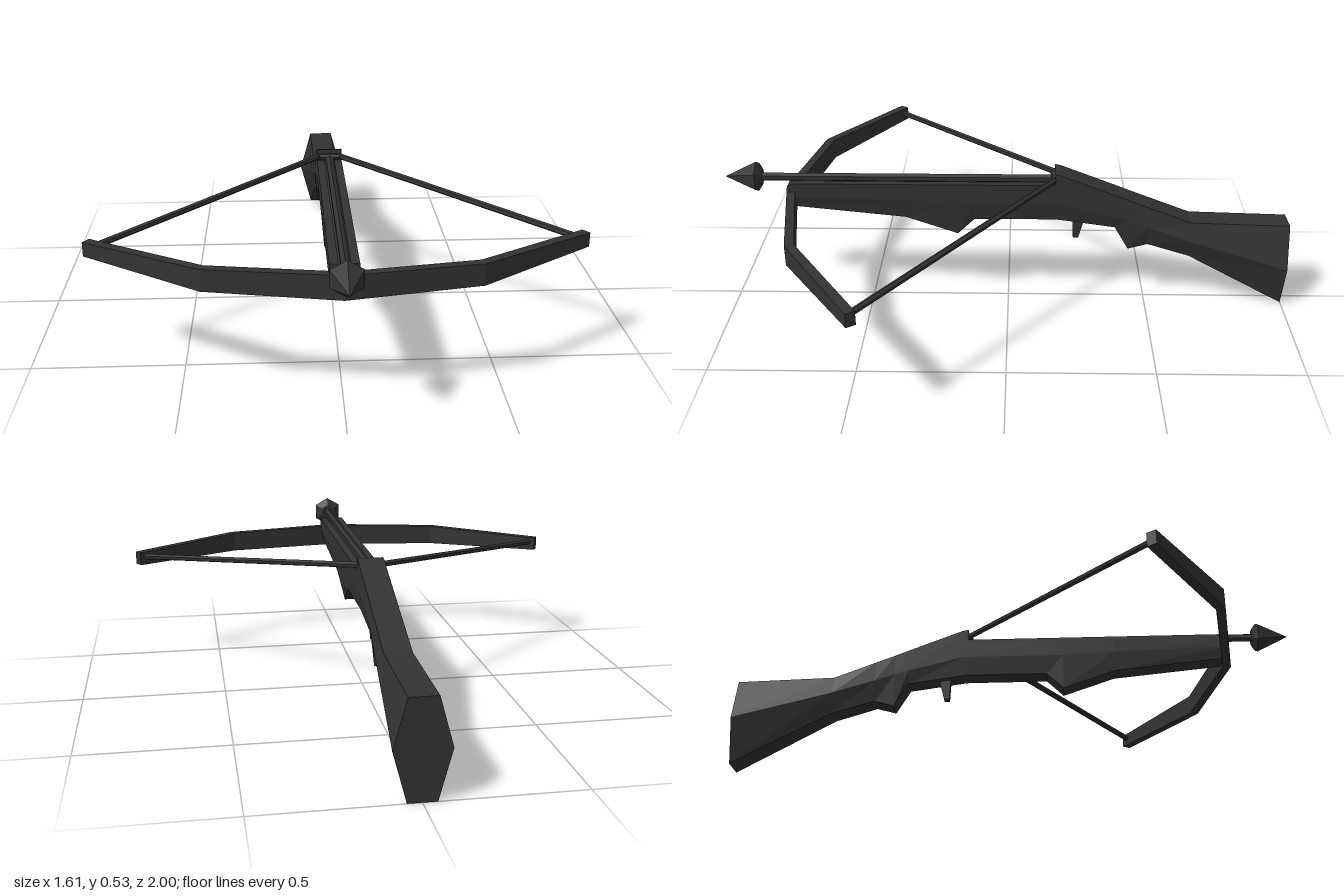
import * as THREE from 'three';

const material = new THREE.MeshStandardMaterial({ color: 0x333333, flatShading: true });

function add(parent, name, geometry) {
  const mesh = new THREE.Mesh(geometry, material);
  mesh.name = name;
  parent.add(mesh);
  return mesh;
}

// Skin a list of rings (each counterclockwise seen from the start) and cap both ends.
function loft(rings) {
  const pos = [];
  const tri = (...pts) => pts.forEach((p) => pos.push(...p));
  const n = rings[0].length;
  for (let r = 0; r < rings.length - 1; r++) {
    const a = rings[r], b = rings[r + 1];
    for (let i = 0; i < n; i++) {
      const j = (i + 1) % n;
      tri(a[i], b[i], b[j]);
      tri(a[i], b[j], a[j]);
    }
  }
  const first = rings[0], last = rings[rings.length - 1];
  for (let i = 1; i < n - 1; i++) {
    tri(first[0], first[i], first[i + 1]);
    tri(last[0], last[i + 1], last[i]);
  }
  const g = new THREE.BufferGeometry();
  g.setAttribute('position', new THREE.Float32BufferAttribute(pos, 3));
  g.computeVertexNormals();
  return g;
}

// Straight rod between two points
function rod(parent, name, from, to, radius, sides) {
  const a = new THREE.Vector3(...from), b = new THREE.Vector3(...to);
  const dir = b.clone().sub(a);
  const mesh = add(parent, name, new THREE.CylinderGeometry(radius, radius, dir.length(), sides));
  mesh.position.copy(a).add(b).multiplyScalar(0.5);
  mesh.quaternion.setFromUnitVectors(new THREE.Vector3(0, 1, 0), dir.normalize());
  return mesh;
}

export function createModel() {
  const model = new THREE.Group();
  model.name = 'crossbow';

  // Stock: hexagonal sections [z, top y, middle y, bottom y, middle half width, bottom half width]
  const top = 0.045;
  const stations = [
    [0.77, 0.452, 0.42, 0.38, 0.045, 0.034],
    [0.365, 0.455, 0.41, 0.338, 0.045, 0.034],
    [0.18, 0.457, 0.40, 0.273, 0.045, 0.034],
    [0.12, 0.457, 0.40, 0.332, 0.045, 0.034],
    [-0.165, 0.46, 0.40, 0.332, 0.045, 0.034],
    [-0.165, 0.512, 0.40, 0.332, 0.045, 0.034],
    [-0.185, 0.508, 0.40, 0.330, 0.045, 0.034],
    [-0.38, 0.432, 0.35, 0.302, 0.046, 0.034],
    [-0.43, 0.412, 0.335, 0.215, 0.047, 0.034],
    [-0.5, 0.385, 0.31, 0.235, 0.052, 0.035],
    [-0.65, 0.327, 0.26, 0.19, 0.062, 0.038],
    [-1, 0.317, 0.16, 0, 0.088, 0.045],
  ];
  add(model, 'stock', loft(stations.map(([z, t, m, b, mw, bw]) => [
    [top, t, z], [-top, t, z], [-mw, m, z], [-bw, b, z], [bw, b, z], [mw, m, z],
  ])));

  // Rails on either side of the bolt groove
  for (const s of [1, -1]) {
    const rail = add(model, s > 0 ? 'leftRail' : 'rightRail', new THREE.BoxGeometry(0.027, 0.025, 0.935));
    rail.position.set(s * 0.0315, 0.458, 0.3025);
  }

  // Bow: one tapered strip bent at the middle and halfway along each limb
  // [x, z, half height, offset of the thickness in x, in z]
  const half = [[0.797, 0.448, 0.024, 0.009, 0.014], [0.42, 0.698, 0.036, 0.005, 0.015]];
  const bends = [
    ...half,
    [0, 0.772, 0.04, 0, 0.015],
    ...half.map(([x, z, h, ox, oz]) => [-x, z, h, -ox, oz]).reverse(),
  ];
  add(model, 'bowLimbs', loft(bends.map(([x, z, h, ox, oz]) => [
    [x - ox, 0.4 + h, z - oz], [x + ox, 0.4 + h, z + oz],
    [x + ox, 0.4 - h, z + oz], [x - ox, 0.4 - h, z - oz],
  ])));

  // Drawn string, hooked in front of the step in the stock
  for (const s of [1, -1]) {
    rod(model, s > 0 ? 'leftString' : 'rightString',
      [s * 0.775, 0.405, 0.455], [s * 0.04, 0.487, -0.16], 0.011, 6);
  }
  rod(model, 'stringCentre', [0.045, 0.487, -0.16], [-0.045, 0.487, -0.16], 0.011, 6);

  // Bolt with a six-sided head
  const bolt = new THREE.Group();
  bolt.name = 'bolt';
  bolt.position.y = 0.477;
  model.add(bolt);
  rod(bolt, 'boltShaft', [0, 0, -0.155], [0, 0, 0.9], 0.015, 6);
  const head = add(bolt, 'boltHead', new THREE.LatheGeometry([
    new THREE.Vector2(0, 0.87), new THREE.Vector2(0.03, 0.87),
    new THREE.Vector2(0.057, 0.888), new THREE.Vector2(0, 1),
  ], 6));
  head.rotation.x = Math.PI / 2;

  // Trigger: tapered blade under the stock
  const w = 0.013;
  add(model, 'trigger', loft([[0.35, -0.222, -0.272], [0.31, -0.23, -0.268], [0.247, -0.233, -0.252]]
    .map(([y, f, b]) => [[w, y, f], [w, y, b], [-w, y, b], [-w, y, f]])));

  return model;
}
